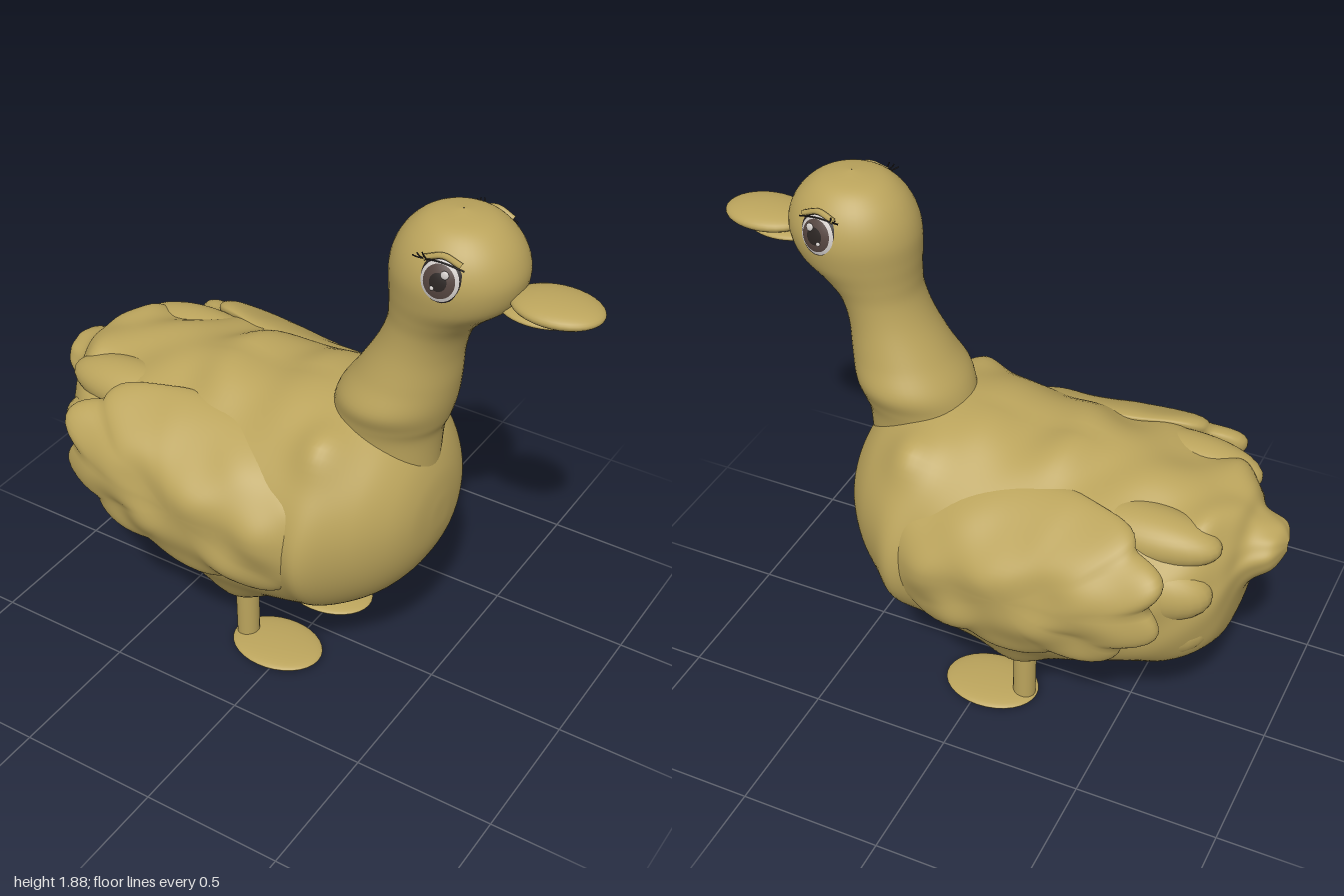
import * as THREE from 'three';
import { mergeVertices } from 'three/addons/utils/BufferGeometryUtils.js';

const paint = (name, color) => {
  const m = new THREE.MeshStandardMaterial({ color });
  m.name = name;
  return m;
};

// Smooth interpolation through rows of numbers, t from 0 to 1
function sampleRows(rows, t) {
  const f = t * (rows.length - 1);
  const i = Math.min(Math.floor(f), rows.length - 2);
  const u = f - i;
  const row = (k) => rows[Math.max(0, Math.min(rows.length - 1, k))];
  return rows[0].map((_, c) => {
    const [a, b, d, e] = [row(i - 1)[c], row(i)[c], row(i + 1)[c], row(i + 2)[c]];
    return b + 0.5 * u * (d - a + u * (2 * a - 5 * b + 4 * d - e + u * (3 * (b - d) + e - a)));
  });
}

// Closed skin over rings; pointAt(row, angle) gives each vertex
function loft(rows, steps, sides, pointAt) {
  const pos = [], index = [];
  for (let i = 0; i <= steps; i++) {
    const row = sampleRows(rows, i / steps);
    for (let j = 0; j < sides; j++) pos.push(...pointAt(row, (j / sides) * Math.PI * 2));
  }
  for (let i = 0; i < steps; i++) {
    for (let j = 0; j < sides; j++) {
      const a = i * sides + j, b = i * sides + ((j + 1) % sides);
      index.push(a, b, a + sides, b, b + sides, a + sides);
    }
  }
  const g = new THREE.BufferGeometry();
  g.setAttribute('position', new THREE.Float32BufferAttribute(pos, 3));
  g.setIndex(index);
  g.computeVertexNormals();
  return g;
}

// Unit sphere moved by a rule, with seamless smooth normals
function blob(rule) {
  let g = new THREE.SphereGeometry(1, 96, 56).rotateX(Math.PI / 2);
  g.deleteAttribute('uv');
  g.deleteAttribute('normal');
  g = mergeVertices(g, 1e-4);
  const p = g.attributes.position;
  for (let i = 0; i < p.count; i++) p.setXYZ(i, ...rule(p.getX(i), p.getY(i), p.getZ(i)));
  g.computeVertexNormals();
  return g;
}

export function createModel() {
  const duck = new THREE.Group();
  duck.name = 'duck';
  const gold = paint('goldenTan', 0xbba45c);
  const dark = paint('lashBlack', 0x2a2422);
  const brown = paint('irisBrown', 0x54443f);
  const white = paint('eyeWhite', 0xd0cbc8);

  const add = (parent, name, geometry, material, x = 0, y = 0, z = 0) => {
    const m = new THREE.Mesh(geometry, material);
    m.name = name;
    m.position.set(x, y, z);
    parent.add(m);
    return m;
  };
  const ball = new THREE.SphereGeometry(1, 32, 20);
  const ellipsoid = (parent, name, mat, at, size) => {
    const m = add(parent, name, ball, mat, ...at);
    m.scale.set(...size);
    return m;
  };

  // Body: x, top, bottom, half width
  const bodyRows = [
    [-1.0, 0.9, 0.86, 0.01], [-0.97, 0.94, 0.8, 0.09], [-0.89, 0.97, 0.71, 0.14],
    [-0.835, 1.02, 0.49, 0.25], [-0.7, 1.05, 0.4, 0.37], [-0.5, 1.07, 0.34, 0.43],
    [-0.3, 1.09, 0.29, 0.46], [-0.1, 1.1, 0.28, 0.46], [0.1, 1.13, 0.29, 0.445],
    [0.25, 1.12, 0.34, 0.415], [0.36, 1.07, 0.41, 0.35], [0.44, 0.99, 0.5, 0.26],
    [0.485, 0.9, 0.59, 0.17], [0.503, 0.81, 0.67, 0.07], [0.506, 0.74, 0.74, 0.001],
  ];
  // Soft swellings on both sides: x, y, z, spread in x y z, height
  const swellings = [
    [-0.16, 0.33, 0.2, 0.13, 0.14, 0.11, 0.08], // thigh
    [0.22, 0.64, 0.42, 0.065, 0.2, 0.2, 0.04], // shoulder feathers
    [0.21, 1.03, 0.27, 0.08, 0.09, 0.09, 0.045],
    [-0.28, 1.08, 0.1, 0.1, 0.1, 0.16, 0.035], // back feathers
    [0.0, 1.1, 0.12, 0.1, 0.1, 0.16, 0.02],
    [-0.5, 0.97, 0.3, 0.12, 0.1, 0.1, 0.03],
    [-0.78, 0.98, 0.18, 0.06, 0.08, 0.09, 0.03],
  ];
  const bodyGeo = loft(bodyRows, 126, 100, ([x, top, bottom, w], a) => {
    const c = Math.cos(a), s = Math.sin(a);
    const plumage = THREE.MathUtils.smoothstep(-x, -0.2, 0.6) * (0.65 + 0.35 * c);
    const lump = 1 + plumage * 0.03 * (Math.sin(8 * a + 6 * x) * Math.cos(14 * x + 2 * c) + 0.6 * Math.sin(19 * x + 5 * c));
    const y = (top + bottom) / 2 + ((top - bottom) / 2) * c * lump;
    const z = w * Math.sign(s) * Math.pow(Math.abs(s), c < 0 ? 0.84 : 1) * lump;
    let push = 0;
    for (const [bx, by, bz, rx, ry, rz, height] of swellings)
      push += height * Math.exp(-(((x - bx) / rx) ** 2) - ((y - by) / ry) ** 2 - ((Math.abs(z) - bz) / rz) ** 2);
    return [x, y + push * c, z + push * s];
  });
  add(duck, 'body', bodyGeo, gold);

  // Neck and head: y, back x, front x, half width
  const neckRows = [
    [0.66, 0.25, 0.46, 0.07], [0.8, 0.18, 0.475, 0.12], [0.94, 0.13, 0.475, 0.16],
    [1.05, 0.11, 0.483, 0.173], [1.11, 0.115, 0.505, 0.185],
    [1.18, 0.14, 0.522, 0.203], [1.27, 0.2, 0.535, 0.175], [1.38, 0.265, 0.545, 0.152],
    [1.47, 0.3, 0.575, 0.15], [1.54, 0.306, 0.635, 0.165], [1.61, 0.304, 0.715, 0.187],
    [1.69, 0.305, 0.742, 0.198], [1.76, 0.325, 0.728, 0.185], [1.82, 0.365, 0.687, 0.15],
    [1.862, 0.425, 0.625, 0.095], [1.88, 0.525, 0.527, 0.001],
  ];
  add(duck, 'neckAndHead', loft(neckRows, 90, 48, ([y, back, front, w], a) =>
    [(back + front) / 2 + ((front - back) / 2) * Math.cos(a), y, -w * Math.sin(a)]), gold);

  // Beak
  ellipsoid(duck, 'upperBeak', gold, [0.85, 1.648, 0], [0.148, 0.037, 0.11]);
  ellipsoid(duck, 'lowerBeak', gold, [0.79, 1.612, 0], [0.125, 0.021, 0.085]);

  // Wing: scalloped lower and rear edges, wrapped over the back so the top sinks into the body
  const wingGeo = (side) => blob((x, y, z) => {
    const a = Math.atan2(y, x);
    const edge = Math.hypot(x, y) * THREE.MathUtils.smoothstep(-x - 0.8 * y, -0.7, 0.6);
    const k = 1 + edge * (0.13 * Math.abs(Math.sin(5 * a)) - 0.07);
    const ripple = 1 + 0.12 * Math.sin(8 * x + 2 * y) * Math.sin(7 * y - 3 * x) + 0.05 * Math.sin(13 * x + 5 * y);
    const soft = (v) => Math.sign(v) * Math.pow(Math.abs(v), 0.87);
    const inward = 0.19 * Math.max(0, y) ** 2 + 0.03 * Math.min(0, y) ** 2 + 0.045 * Math.max(0, x) ** 2;
    return [0.49 * soft(x) * k, 0.28 * soft(y) * k - 0.05 * x + 0.02 * x * x, 0.1 * soft(z) * ripple - side * inward];
  });

  // Long feathers whose tips emerge at the rear: x, y, z, then half sizes
  const tips = [
    [-0.58, 0.95, 0.2, 0.26, 0.09, 0.11], [-0.57, 0.8, 0.26, 0.27, 0.13, 0.12],
    [-0.57, 0.62, 0.2, 0.26, 0.15, 0.15],
  ];

  for (const side of [1, -1]) {
    const label = side > 0 ? 'left' : 'right';
    add(duck, label + 'Wing', wingGeo(side), gold, -0.22, 0.76, side * 0.415);

    tips.forEach(([x, y, z, ...size]) =>
      ellipsoid(duck, label + 'RearFeather', gold, [x, y, side * z], size));

    // Leg and flat foot
    add(duck, label + 'Leg', new THREE.CylinderGeometry(0.043, 0.04, 0.29, 24), gold, -0.16, 0.17, side * 0.175);
    ellipsoid(duck, label + 'Foot', gold, [-0.035, 0.024, side * 0.175], [0.172, 0.022, 0.13]);

    // Eye: thin concentric caps on a shallow dome
    const eye = new THREE.Group();
    eye.name = label + 'Eye';
    eye.position.set(0.555, 1.735, side * 0.183);
    eye.rotation.set(-side * 0.2, side * 0.12, 0);
    duck.add(eye);
    const caps = [['eyeRim', dark, 0.068], ['eyeWhite', white, 0.06], ['iris', brown, 0.05], ['pupil', dark, 0.027]];
    caps.forEach(([name, mat, r], i) => {
      const R = 0.11 + i * 0.0015;
      const cap = new THREE.SphereGeometry(R, 32, 10, 0, Math.PI * 2, 0, Math.asin(r / R)).rotateX(side * Math.PI / 2);
      add(eye, name, cap, mat, 0, 0, -side * 0.092).scale.y = 1.08;
    });
    for (const [x, y, r] of [[0.018, 0.026, 0.013], [-0.016, -0.022, 0.007]])
      ellipsoid(eye, 'highlight', white, [x, y, side * 0.019], [r, r, 0.005]);

    // Eyelid and lashes
    const strand = (name, mat, r, pts) => add(eye, name, new THREE.TubeGeometry(
      new THREE.CatmullRomCurve3(pts.map(([x, y, z]) => new THREE.Vector3(x, y, side * z))), 16, r, 6), mat);
    strand('eyelid', gold, 0.01, [[-0.058, 0.058, 0], [0, 0.077, 0.002], [0.058, 0.058, 0]]);
    strand('lashLine', dark, 0.0025, [[-0.075, 0.054, 0.002], [0, 0.06, 0.013], [0.07, 0.046, 0.003]]);
    for (const [x, dx, dy] of [[-0.065, -0.025, 0.008], [-0.055, -0.022, 0.018], [-0.045, -0.016, 0.024]])
      strand('lash', dark, 0.0022, [[x, 0.055, 0.004], [x + dx * 0.6, 0.055 + dy * 0.4, 0.012], [x + dx, 0.055 + dy, 0.018]]);
  }
  return duck;
}
